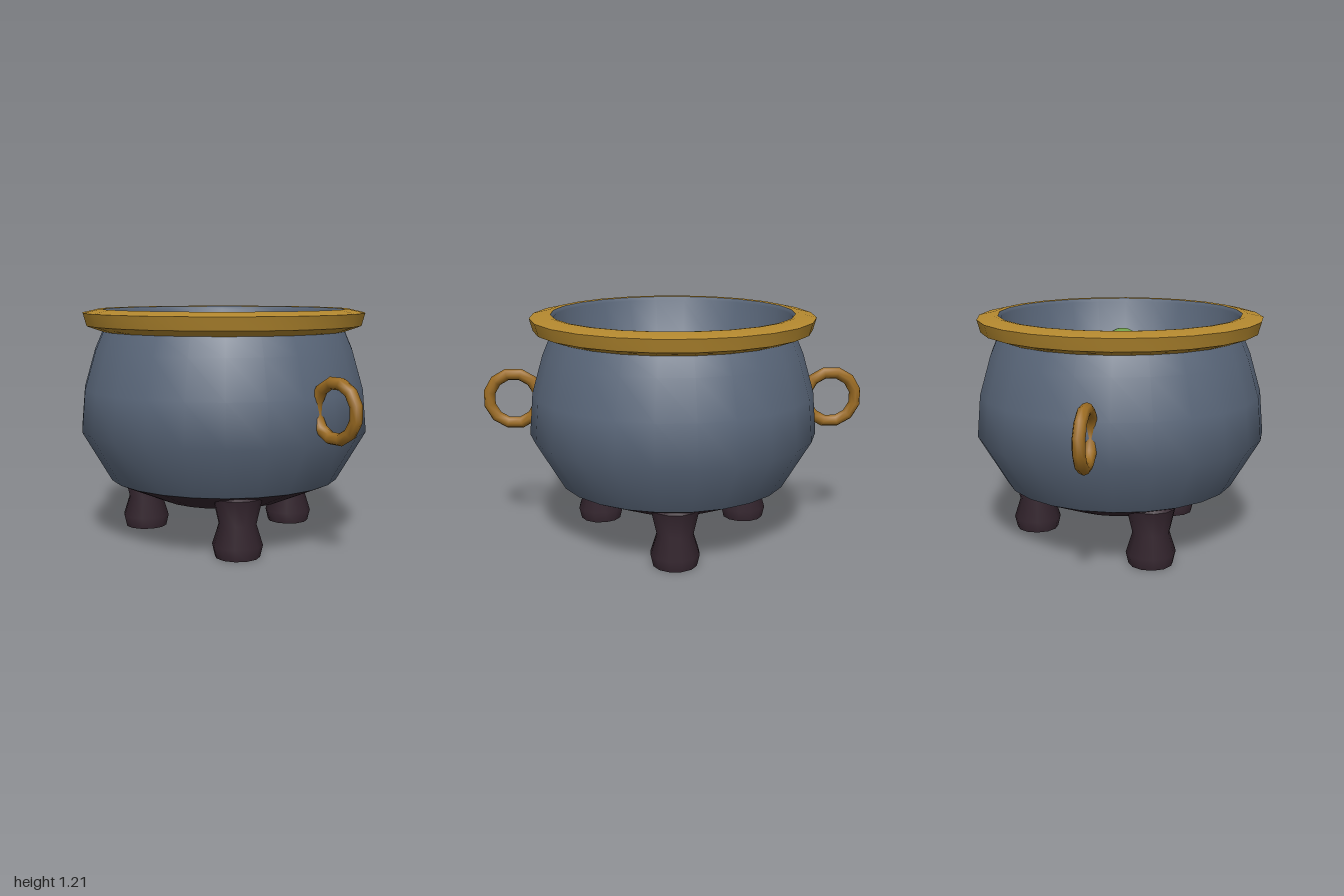
import * as THREE from 'three';
import { toCreasedNormals } from 'three/addons/utils/BufferGeometryUtils.js';

const SIDES = 24;

function material(name, color) {
  const m = new THREE.MeshStandardMaterial({ color });
  m.name = name;
  return m;
}

// Turned shape from [radius, height] pairs; rising profiles face outward
function turned(points, sides, crease) {
  const profile = points.map(([r, y]) => new THREE.Vector2(r, y));
  const geometry = new THREE.LatheGeometry(profile, sides, Math.PI / sides);
  return crease ? toCreasedNormals(geometry, crease) : geometry;
}

export function createModel() {
  const iron = material('blue grey iron', 0x5a677a);
  const darkIron = material('dark iron', 0x35262f);
  const brass = material('brass', 0xb5892f);
  const darkBrass = material('dark brass', 0x9c6c22);
  const brew = material('green brew', 0x438136);
  const froth = material('light green froth', 0x70a04c);

  const model = new THREE.Group();
  model.name = 'cauldron';
  function add(name, geometry, mat, x = 0, y = 0, z = 0) {
    const mesh = new THREE.Mesh(geometry, mat);
    mesh.name = name;
    mesh.position.set(x, y, z);
    model.add(mesh);
    return mesh;
  }

  // Pot: dark base, bulging outer wall, inner wall
  add('base', turned([[0, 0.21], [0.345, 0.21], [0.606, 0.322]], SIDES), darkIron);
  add('outerWall', turned([
    [0.606, 0.322], [0.757, 0.58], [0.738, 0.8], [0.68, 1.0], [0.637, 1.1],
  ], SIDES), iron);
  add('innerWall', turned([
    [0.637, 1.207], [0.62, 1.19], [0.58, 0.99], [0.545, 0.978],
  ], SIDES), iron);

  // Flared rim
  add('rim', turned([
    [0.61, 1.095], [0.64, 1.095], [0.724, 1.125], [0.742, 1.19], [0.655, 1.21], [0.633, 1.207],
  ], SIDES, 0.75), brass);

  // Brew with a pale patch and bubbles
  const disc = (r) => new THREE.CircleGeometry(r, SIDES).rotateX(-Math.PI / 2);
  add('brew', disc(0.565), brew, 0, 0.984, 0);
  add('frothPatch', disc(0.2), froth, 0, 0.989, 0);
  const bubbles = [[0.23, -0.03, 0.105], [-0.14, 0.15, 0.095], [0.12, 0.15, 0.06]];
  for (const [x, z, r] of bubbles) {
    add('bubble', new THREE.SphereGeometry(r, 14, 10), froth, x, 0.987, z);
  }

  // Ring handles on both sides
  for (const side of [-1, 1]) {
    const ring = new THREE.TorusGeometry(0.134, 0.031, 8, 12).rotateZ(Math.PI / 12);
    add(side > 0 ? 'leftHandle' : 'rightHandle', ring, darkBrass, side * 0.84, 0.75, 0);
  }

  // Three waisted legs, one at the back
  const legShape = turned([
    [0, 0], [0.113, 0], [0.127, 0.06], [0.094, 0.165], [0.125, 0.3], [0.1, 0.32],
  ], 12, 0.9);
  for (let i = 0; i < 3; i++) {
    const a = Math.PI + (i * Math.PI * 2) / 3;
    add('leg', legShape, darkIron, 0.468 * Math.sin(a), 0, 0.468 * Math.cos(a));
  }

  return model;
}
